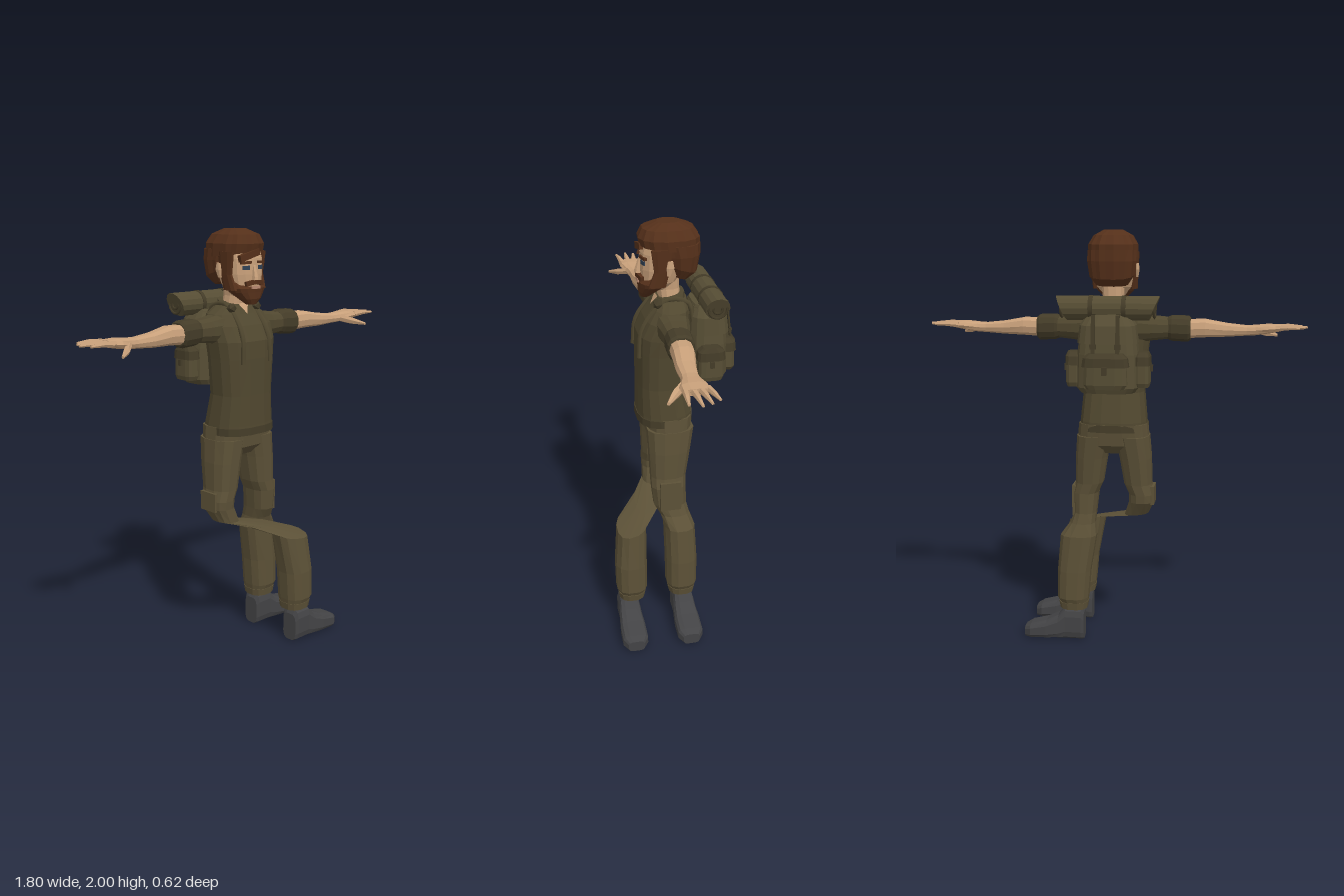
import * as THREE from 'three';

const mat = (name, color) => { const m = new THREE.MeshStandardMaterial({ color }); m.name = name; return m; };

export function createModel() {
  const root = new THREE.Group();
  root.name = 'hiker';
  const shirt = mat('shirt olive', 0x50472f), trim = mat('dark olive', 0x443c28), pants = mat('trouser olive', 0x5c5137),
    pack = mat('pack olive', 0x564d34), skin = mat('skin', 0xc8a07a), hair = mat('brown hair', 0x55301a),
    boot = mat('boot grey', 0x434345), eye = mat('eye blue', 0x2f4054), lip = mat('lip', 0xb98a72);

  const add = (name, geo, material, pos = [0, 0, 0], rot = [0, 0, 0]) => {
    const m = new THREE.Mesh(geo, material);
    m.name = name;
    m.position.set(...pos);
    m.rotation.set(...rot);
    root.add(m);
    return m;
  };
  const box = (name, size, pos, material, rot) => add(name, new THREE.BoxGeometry(...size), material, pos, rot);

  // Skin cross-sections [x, y, z, half width, half depth, tiltX, tiltZ].
  // axis 'y': rings lie flat; axis 'x': rings stand upright (half height, half depth).
  function loft(name, rings, material, { n = 12, e = 0.8, axis = 'y', ridge = 0 } = {}) {
    const pts = [], idx = [];
    const pw = v => Math.sign(v) * Math.abs(v) ** e;
    for (const [x, y, z, a, b, tx = 0, tz = 0] of rings) {
      for (let i = 0; i < n; i++) {
        const t = (i + 0.5) / n * Math.PI * 2, r = 1 - (i % 2) * ridge;
        const u = pw(Math.cos(t)) * a * r, v = pw(Math.sin(t)) * b * r;
        if (axis === 'y') pts.push(x + u, y + tx * u + tz * v, z + v);
        else pts.push(x, y + u, z + v);
      }
    }
    const last = rings.length - 1, base = rings.length * n;
    pts.push(...rings[0].slice(0, 3), ...rings[last].slice(0, 3));
    for (let i = 0; i < n; i++) {
      const j = (i + 1) % n;
      for (let k = 0; k < last; k++) {
        const o = k * n, p = o + n;
        idx.push(o + i, p + i, o + j, o + j, p + i, p + j);
      }
      idx.push(base, i, j, base + 1, last * n + j, last * n + i);
    }
    // Turn the faces outward whichever way the rings run
    let vol = 0;
    const P = k => new THREE.Vector3(pts[k * 3], pts[k * 3 + 1], pts[k * 3 + 2]).sub(new THREE.Vector3(...rings[0]));
    for (let k = 0; k < idx.length; k += 3) vol += P(idx[k]).dot(P(idx[k + 1]).cross(P(idx[k + 2])));
    if (vol < 0) idx.reverse();
    const g = new THREE.BufferGeometry();
    g.setAttribute('position', new THREE.Float32BufferAttribute(pts, 3));
    g.setIndex(idx);
    const flat = g.toNonIndexed();
    flat.computeVertexNormals();
    return add(name, flat, material);
  }

  // Shirt and collar
  loft('shirtBody', [
    [0, 1.07, 0.035, 0.163, 0.13], [0, 1.11, 0.035, 0.16, 0.128], [0, 1.25, 0.05, 0.147, 0.112],
    [0, 1.42, 0.048, 0.16, 0.114], [0, 1.5, 0.043, 0.17, 0.115], [0, 1.57, 0.025, 0.175, 0.1],
    [0, 1.62, 0.008, 0.15, 0.082], [0, 1.655, 0, 0.09, 0.07]], shirt, { n: 16, e: 0.75 });
  loft('shirtHem', [[0, 1.065, 0.035, 0.167, 0.133], [0, 1.1, 0.035, 0.165, 0.132]], trim, { n: 16, e: 0.75 });
  loft('collar', [[0, 1.61, 0.01, 0.1, 0.075], [0, 1.672, 0, 0.075, 0.062, 0, -0.2]], shirt);
  add('openNeck', new THREE.CircleGeometry(0.036, 3), skin, [0, 1.65, 0.073], [-0.55, 0, -Math.PI / 2]);

  // Neck, head and ears
  loft('neck', [[0, 1.62, 0, 0.06, 0.05], [0, 1.7, 0.01, 0.05, 0.05], [0, 1.8, 0.02, 0.06, 0.06]], skin);
  loft('head', [[0, 1.7, 0.07, 0.05, 0.05], [0, 1.74, 0.055, 0.082, 0.08], [0, 1.8, 0.04, 0.095, 0.098],
    [0, 1.87, 0.035, 0.097, 0.1], [0, 1.93, 0.02, 0.09, 0.1]], skin, { n: 14 });
  loft('nose', [[0, 1.775, 0.142, 0.016, 0.02], [0, 1.79, 0.143, 0.014, 0.016], [0, 1.84, 0.134, 0.008, 0.008]], skin, { n: 6 });

  // Hair, beard and face details
  loft('hairTop', [[0, 1.885, 0.005, 0.114, 0.132, 0.05, 0.1], [0, 1.935, 0.008, 0.114, 0.138],
    [0, 1.975, 0.012, 0.09, 0.115], [0, 2.0, 0.01, 0.045, 0.05]], hair, { n: 28, ridge: 0.04 });
  loft('hairBack', [[0, 1.755, -0.035, 0.075, 0.035, 0, 0.3], [0, 1.8, -0.04, 0.105, 0.075, 0, 0.3],
    [0, 1.86, -0.04, 0.115, 0.09], [0, 1.91, -0.03, 0.114, 0.1]], hair, { n: 28, ridge: 0.04 });
  box('fringe', [0.12, 0.03, 0.02], [-0.03, 1.885, 0.132], hair, [0, 0, 0.25]);
  loft('beard', [[0, 1.665, 0.115, 0.025, 0.02], [0, 1.69, 0.105, 0.055, 0.04], [0, 1.72, 0.085, 0.085, 0.06],
    [0, 1.738, 0.08, 0.094, 0.066], [0, 1.765, 0.06, 0.1, 0.05]], hair, { n: 14 });
  box('lips', [0.05, 0.013, 0.006], [0, 1.742, 0.147], lip);
  for (const s of [1, -1]) {
    loft('sideburn', [[s * 0.09, 1.73, 0.075, 0.015, 0.04], [s * 0.097, 1.8, 0.055, 0.013, 0.035],
      [s * 0.1, 1.9, 0.055, 0.014, 0.05]], hair, { n: 8 });
    loft('ear', [[s * 0.108, 1.785, 0.025, 0.006, 0.01], [s * 0.112, 1.82, 0.02, 0.008, 0.018],
      [s * 0.11, 1.85, 0.02, 0.007, 0.012]], skin, { n: 8 });
    box('moustache', [0.055, 0.02, 0.02], [s * 0.025, 1.763, 0.139], hair, [0, s * 0.25, -s * 0.18]);
    box('eye', [0.034, 0.018, 0.008], [s * 0.043, 1.83, 0.128], eye, [0, s * 0.3, 0]);
    box('eyebrow', [0.052, 0.012, 0.014], [s * 0.045, 1.853, 0.129], hair, [0, s * 0.3, -s * 0.05]);
  }

  // Arms, hands and pack straps
  for (const s of [1, -1]) {
    loft('sleeve', [[s * 0.12, 1.555, 0.015, 0.07, 0.08], [s * 0.19, 1.553, 0.015, 0.058, 0.068],
      [s * 0.27, 1.553, 0.02, 0.05, 0.056], [s * 0.34, 1.55, 0.023, 0.054, 0.056]], shirt, { axis: 'x' });
    loft('rolledCuff', [[s * 0.255, 1.553, 0.02, 0.052, 0.056], [s * 0.275, 1.553, 0.02, 0.06, 0.062],
      [s * 0.35, 1.55, 0.023, 0.061, 0.061], [s * 0.362, 1.55, 0.023, 0.052, 0.054]], trim, { axis: 'x' });
    loft('forearm', [[s * 0.34, 1.55, 0.025, 0.045, 0.05], [s * 0.43, 1.553, 0.03, 0.043, 0.05],
      [s * 0.53, 1.545, 0.043, 0.032, 0.044], [s * 0.62, 1.543, 0.047, 0.024, 0.037],
      [s * 0.66, 1.545, 0.05, 0.024, 0.043], [s * 0.72, 1.552, 0.053, 0.022, 0.06],
      [s * 0.775, 1.556, 0.052, 0.015, 0.06]], skin, { n: 10, axis: 'x' });
    // [root z, tip x, tip z] of each finger
    for (const [z0, x1, z1] of [[0.005, 0.86, -0.018], [0.036, 0.885, 0.018], [0.066, 0.9, 0.058], [0.095, 0.88, 0.108]])
      loft('finger', [[s * 0.75, 1.556, z0, 0.014, 0.016], [s * (0.75 + x1) / 2, 1.561, (z0 + z1) / 2, 0.011, 0.012],
        [s * x1, 1.559, z1, 0.005, 0.006]], skin, { n: 6, axis: 'x' });
    loft('thumb', [[s * 0.66, 1.545, 0.07, 0.018, 0.02], [s * 0.71, 1.528, 0.118, 0.017, 0.022],
      [s * 0.765, 1.512, 0.162, 0.007, 0.008]], skin, { n: 6, axis: 'x' });
    const path = new THREE.CatmullRomCurve3([[0.085, 1.4, 0.158], [0.08, 1.52, 0.147], [0.075, 1.6, 0.098],
      [0.075, 1.665, 0.02], [0.075, 1.64, -0.07], [0.08, 1.55, -0.09]].map(p => new THREE.Vector3(s * p[0], p[1], p[2])));
    add('shoulderStrap', new THREE.TubeGeometry(path, 16, 0.012, 5), shirt);
    add('strapBuckle', new THREE.IcosahedronGeometry(0.024, 0), trim, [s * 0.078, 1.648, 0.07]);
  }

  // Trousers: hips, then thighs running into shins turned to the left side
  loft('hips', [[0, 0.955, 0.025, 0.1, 0.06], [0, 1.0, 0.022, 0.175, 0.105],
    [0, 1.1, 0.02, 0.165, 0.115]], pants, { n: 16, e: 0.7 });
  const thigh = s => [[s * 0.09, 1.04, 0.02, 0.085, 0.112], [s * 0.107, 0.93, 0.027, 0.077, 0.1],
    [s * 0.119, 0.8, 0.035, 0.068, 0.086], [s * 0.137, 0.75, 0.037, 0.063, 0.084]];
  const shin = z => [[0.19, 0.36, z, 0.083, 0.077], [0.197, 0.22, z, 0.078, 0.076], [0.193, 0.195, z, 0.07, 0.066],
    [0.195, 0.165, z, 0.066, 0.062]];
  loft('leftTrouserLeg', [...thigh(1), [0.14, 0.65, 0.03, 0.055, 0.08], [0.15, 0.6, 0.01, 0.062, 0.072],
    [0.168, 0.54, -0.01, 0.09, 0.074], ...shin(-0.015)], pants);
  loft('rightTrouserLeg', [...thigh(-1), [-0.137, 0.71, 0.038, 0.062, 0.08], [-0.11, 0.64, 0.06, 0.06, 0.06, -0.1],
    [0.04, 0.603, 0.13, 0.1, 0.055, -0.15, -0.1], [0.162, 0.555, 0.225, 0.095, 0.07, -0.15, -0.25], ...shin(0.235)], pants);
  box('thighPocket', [0.03, 0.15, 0.1], [0.186, 0.71, 0.035], pants);
  box('thighPocket', [0.03, 0.09, 0.1], [-0.185, 0.745, 0.035], pants);

  // Trouser cuffs and boots, toes toward +x
  for (const [side, z] of [['left', -0.02], ['right', 0.253]]) {
    loft(side + 'TrouserCuff', [[0.194, 0.163, z < 0 ? -0.015 : 0.235, 0.068, 0.064],
      [0.194, 0.198, z < 0 ? -0.015 : 0.235, 0.074, 0.07]], pants);
    loft(side + 'Boot', [[0.142, 0.07, z, 0.07, 0.042], [0.155, 0.082, z, 0.082, 0.052], [0.235, 0.082, z, 0.082, 0.052],
      [0.27, 0.062, z, 0.062, 0.056], [0.33, 0.047, z, 0.047, 0.062], [0.41, 0.036, z, 0.036, 0.062],
      [0.44, 0.028, z, 0.028, 0.04]], boot, { e: 0.55, axis: 'x' });
  }

  // Backpack body, flap and pockets
  loft('packBody', [[0, 1.275, -0.16, 0.125, 0.085], [0, 1.3, -0.16, 0.145, 0.095], [0, 1.45, -0.16, 0.14, 0.093],
    [0, 1.56, -0.158, 0.125, 0.085], [0, 1.62, -0.155, 0.1, 0.065]], pack, { n: 16, e: 0.65 });
  loft('packFlap', [[0, 1.5, -0.165, 0.138, 0.098], [0, 1.58, -0.163, 0.128, 0.09], [0, 1.63, -0.158, 0.095, 0.062]],
    pack, { n: 16, e: 0.65 });
  const pocket = (name, x, z, a, b) => {
    loft(name, [[x, 1.3, z, a * 0.85, b * 0.85], [x, 1.32, z, a, b], [x, 1.42, z, a * 0.95, b * 0.95],
      [x, 1.455, z, a * 0.8, b * 0.6]], pack, { e: 0.55 });
    loft(name + 'Flap', [[x, 1.4, z, a * 1.08, b * 1.1], [x, 1.44, z, a * 1.02, b * 1.02],
      [x, 1.46, z, a * 0.8, b * 0.6]], trim, { e: 0.55 });
  };
  pocket('backPocket', 0, -0.25, 0.1, 0.045);
  for (const s of [1, -1]) {
    pocket('sidePocket', s * 0.157, -0.155, 0.036, 0.06);
    box('packStrap', [0.018, 0.19, 0.008], [s * 0.055, 1.535, -0.262], trim, [0.1, 0, 0]);
    box('packBuckle', [0.028, 0.022, 0.012], [s * 0.055, 1.49, -0.268], trim);
    box('sideBuckle', [0.012, 0.03, 0.018], [s * 0.198, 1.385, -0.155], trim);
  }
  box('pocketBuckle', [0.022, 0.035, 0.014], [0, 1.385, -0.302], trim);

  // Bedroll with slanted ends, its ties and rolled-up end rings
  const roll = new THREE.CylinderGeometry(0.055, 0.055, 0.42, 14).toNonIndexed();
  roll.rotateZ(Math.PI / 2);
  const p = roll.attributes.position;
  for (let i = 0; i < p.count; i++) p.setX(i, p.getX(i) + Math.sign(p.getX(i)) * p.getY(i) * 0.45);
  roll.computeVertexNormals();
  add('bedroll', roll, pack, [0, 1.655, -0.17]);
  for (const s of [1, -1]) {
    add('bedrollTie', new THREE.CylinderGeometry(0.058, 0.058, 0.02, 14), trim, [s * 0.075, 1.655, -0.17], [0, 0, Math.PI / 2]);
    for (const r of [0.02, 0.042])
      add('rollEnd', new THREE.TorusGeometry(r, 0.006, 4, 14), trim, [s * 0.21, 1.655, -0.17], [0, Math.PI / 2, -s * 0.42]);
  }
  return root;
}
